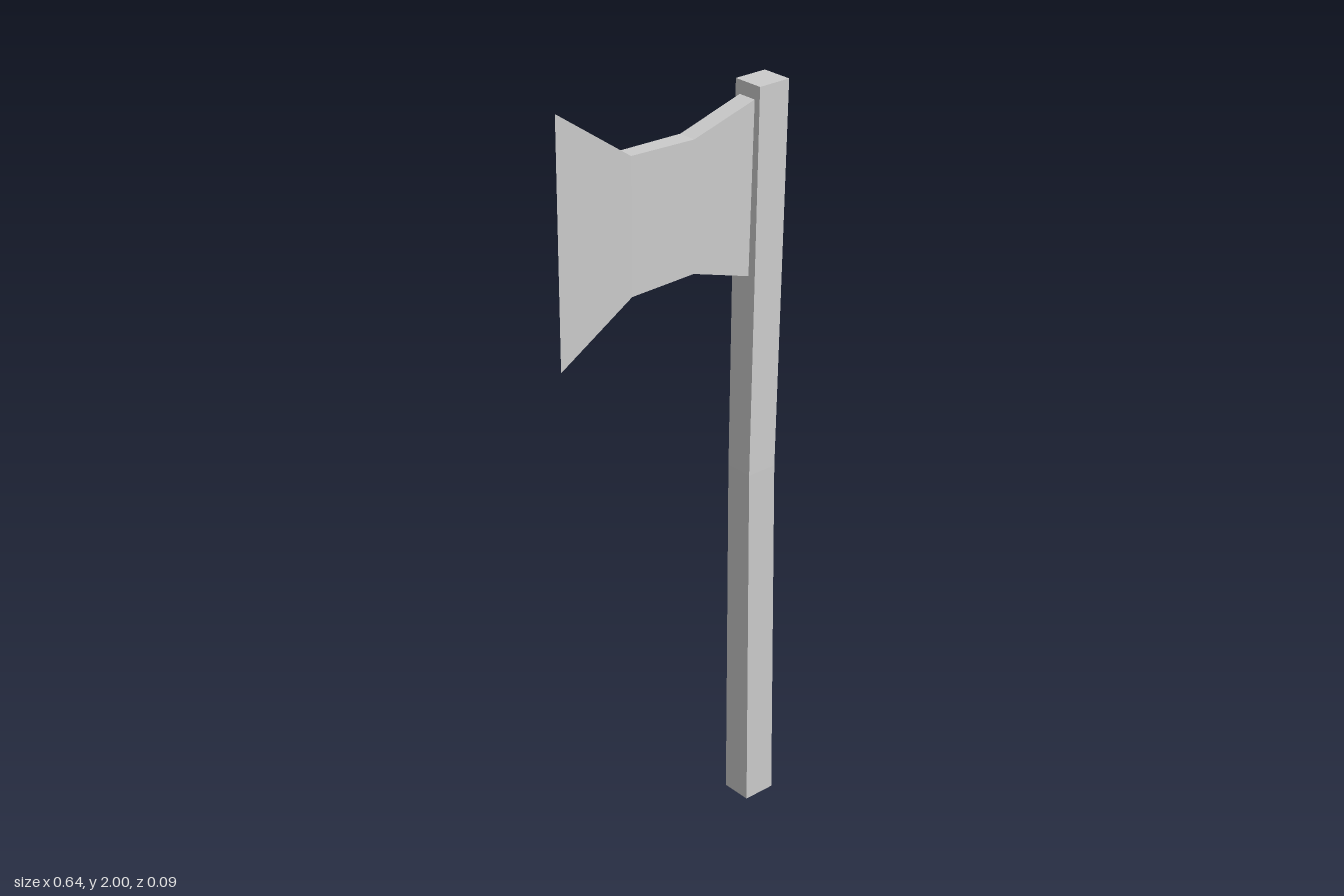
import * as THREE from 'three';

const material = new THREE.MeshStandardMaterial({ color: 0xcccccc, flatShading: true });

// Joins four-cornered rings into a faceted skin; corners run counter-clockwise
// when looking back along the direction of travel.
function loft(name, rings, capStart, capEnd) {
  const index = [];
  for (let i = 0; i < rings.length - 1; i++) {
    for (let j = 0; j < 4; j++) {
      const a = i * 4 + j, b = i * 4 + (j + 1) % 4;
      index.push(a, b, b + 4, a, b + 4, a + 4);
    }
  }
  const e = (rings.length - 1) * 4;
  if (capStart) index.push(0, 2, 1, 0, 3, 2);
  if (capEnd) index.push(e, e + 1, e + 2, e, e + 2, e + 3);

  const indexed = new THREE.BufferGeometry();
  indexed.setAttribute('position', new THREE.Float32BufferAttribute(rings.flat(2), 3));
  indexed.setIndex(index);
  const geometry = indexed.toNonIndexed();
  geometry.computeVertexNormals();
  const mesh = new THREE.Mesh(geometry, material);
  mesh.name = name;
  return mesh;
}

// Horizontal section of the handle
const handleRing = (y, x0, x1, z0, z1) =>
  [[x0, y, z1], [x1, y, z1], [x1, y, z0], [x0, y, z0]];

// Upright section of the blade; xLow and xHigh let it lean with the handle
const bladeRing = (xLow, xHigh, y0, y1, z0, z1) =>
  [[xLow, y0, z1], [xLow, y0, z0], [xHigh, y1, z0], [xHigh, y1, z1]];

export function createModel() {
  const axe = new THREE.Group();
  axe.name = 'axe';

  // Square handle, bent slightly at the middle
  axe.add(loft('handle', [
    handleRing(0, 0.225, 0.313, -0.044, 0.037),
    handleRing(0.97, 0.206, 0.289, -0.029, 0.046),
    handleRing(1.945, 0.23, 0.319, -0.047, 0.034),
  ], true, true));

  // Flared blade tapering to a sharp vertical edge; its inner end meets the handle
  axe.add(loft('blade', [
    bladeRing(-0.32, -0.32, 1.393, 2, -0.007, -0.007),
    bladeRing(-0.13, -0.13, 1.53, 1.865, -0.028, 0.014),
    bladeRing(0.05, 0.05, 1.536, 1.86, -0.031, 0.017),
    bladeRing(0.221, 0.231, 1.482, 1.912, -0.032, 0.018),
  ], false, false));

  return axe;
}
